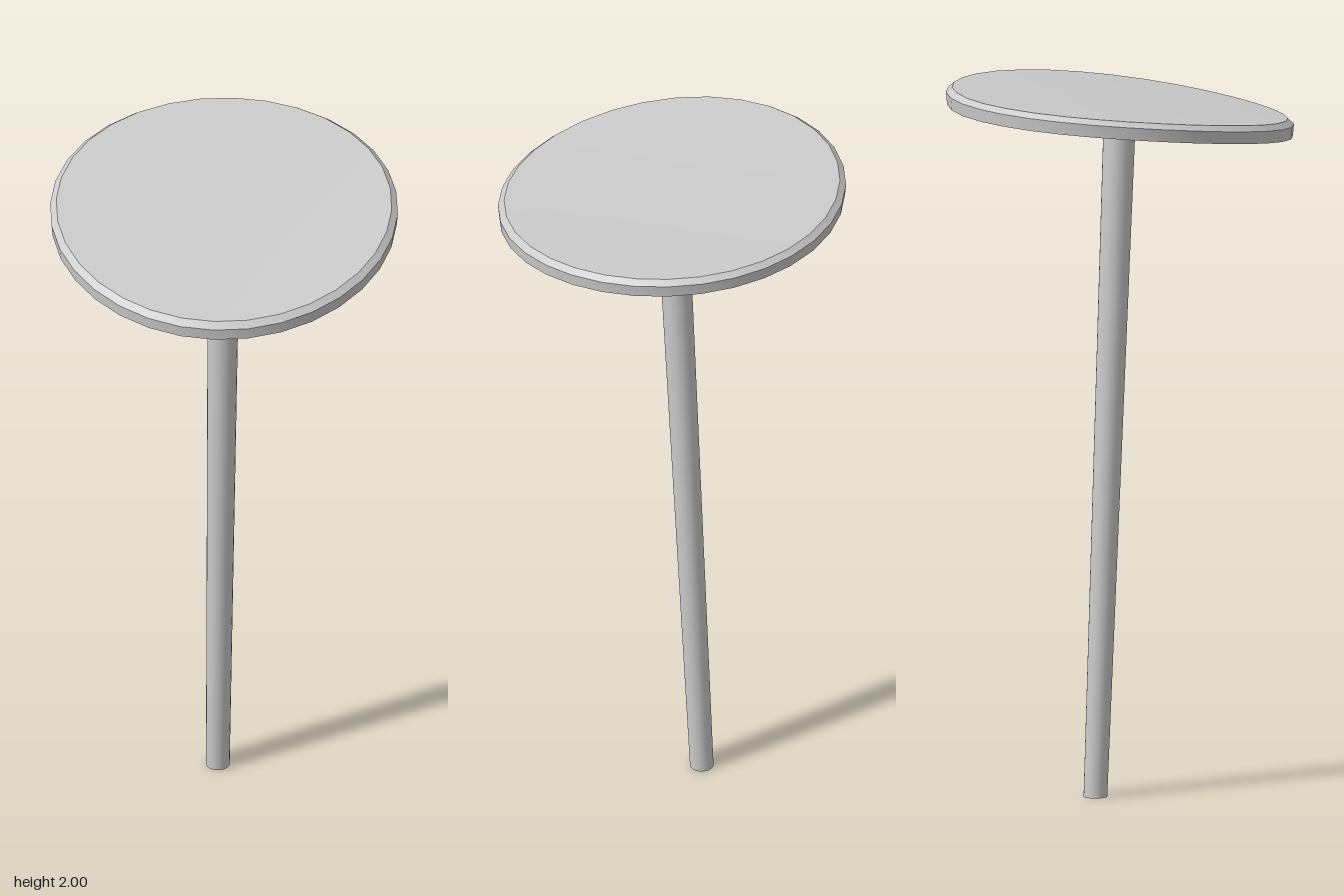
import * as THREE from 'three';
import { toCreasedNormals } from 'three/addons/utils/BufferGeometryUtils.js';

// Move every vertex of a geometry by a rule
function warp(geometry, rule) {
  const p = geometry.attributes.position;
  const v = new THREE.Vector3();
  for (let i = 0; i < p.count; i++) {
    rule(v.fromBufferAttribute(p, i));
    p.setXYZ(i, v.x, v.y, v.z);
  }
  return toCreasedNormals(geometry, 0.5);
}

export function createModel() {
  const group = new THREE.Group();
  const material = new THREE.MeshStandardMaterial({ color: 0xcccccc });
  const R = 0.484;

  // Round cap: thin bevelled disc, with inner rings so that it can bend
  const rings = [0, 0.12, 0.24, 0.36];
  const profile = [
    ...rings.map((r) => new THREE.Vector2(r, -0.05)),
    new THREE.Vector2(R - 0.003, -0.05),
    new THREE.Vector2(R, -0.015),
    new THREE.Vector2(R - 0.017, 0),
    ...rings.slice().reverse().map((r) => new THREE.Vector2(r, 0)),
  ];
  // Tilted down towards front right corner (-x, +z), with a slight saddle
  const capGeometry = warp(new THREE.LatheGeometry(profile, 32), (v) => {
    const s = (v.x - v.z) / Math.SQRT2 / R;
    const t = (v.x + v.z) / Math.SQRT2 / R;
    v.y += 1.957 + 0.0525 * s - 0.0095 * (s * s - t * t);
  });
  const cap = new THREE.Mesh(capGeometry, material);
  cap.name = 'cap';
  group.add(cap);

  // Leaning stem: tapers to the foot, cut level at the ground
  const height = 1.93;
  const stemGeometry = warp(new THREE.CylinderGeometry(0.045, 0.033, height, 24), (v) => {
    v.y += height / 2;
    const k = 1 - v.y / height;
    v.x += 0.045 * k;
    v.z -= 0.076 * k;
  });
  const stem = new THREE.Mesh(stemGeometry, material);
  stem.name = 'stem';
  group.add(stem);

  return group;
}
